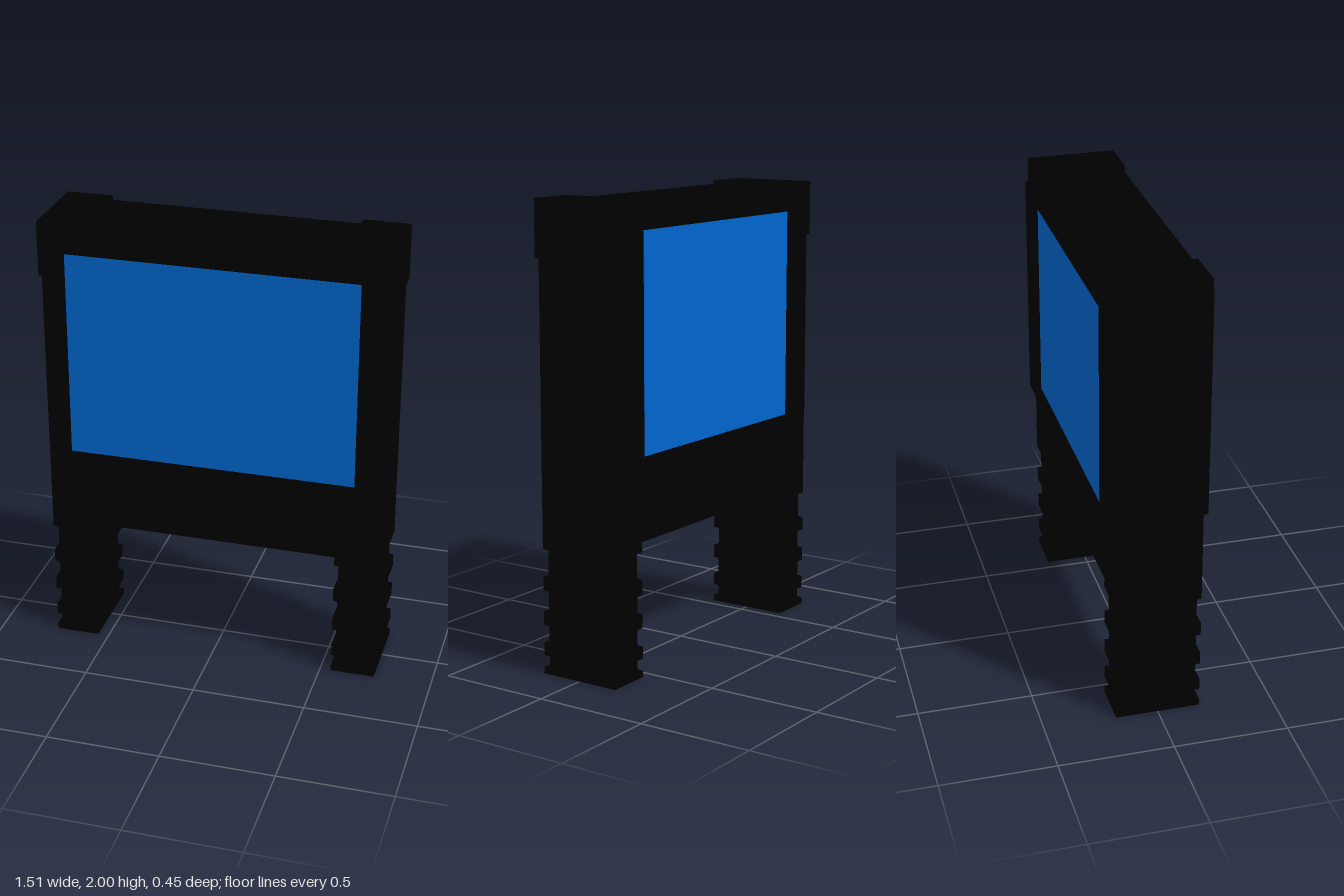
import * as THREE from 'three';

const black = new THREE.MeshStandardMaterial({ color: 0x000000 });
black.name = 'black casing';
const blue = new THREE.MeshStandardMaterial({ color: 0x0065cc });
blue.name = 'blue screen';

// Box given by its min and max corners
function block(name, x0, x1, y0, y1, z0, z1, material = black) {
  const mesh = new THREE.Mesh(new THREE.BoxGeometry(x1 - x0, y1 - y0, z1 - z0), material);
  mesh.position.set((x0 + x1) / 2, (y0 + y1) / 2, (z0 + z1) / 2);
  mesh.name = name;
  return mesh;
}

// Rectangular column through rings of [y, half width, half depth], capped at both ends
function column(rings) {
  const points = [];
  const index = [];
  for (const [y, w, d] of rings) points.push(-w, y, d, w, y, d, w, y, -d, -w, y, -d);
  for (let r = 0; r < rings.length - 1; r++) {
    for (let i = 0; i < 4; i++) {
      const a = r * 4 + i, b = r * 4 + (i + 1) % 4;
      index.push(a, b, b + 4, a, b + 4, a + 4);
    }
  }
  const t = (rings.length - 1) * 4;
  index.push(0, 2, 1, 0, 3, 2, t, t + 1, t + 2, t, t + 2, t + 3);
  const geometry = new THREE.BufferGeometry();
  geometry.setAttribute('position', new THREE.Float32BufferAttribute(points, 3));
  geometry.setIndex(index);
  const flat = geometry.toNonIndexed();
  flat.computeVertexNormals();
  return flat;
}

// Ribbed leg: narrow core with chamfered bands
function legGeometry() {
  const bands = [[0, 0.037], [0.073, 0.143], [0.207, 0.282], [0.355, 0.43]];
  const rings = [];
  const core = [0.081, 0.17], rib = [0.098, 0.185], c = 0.008;
  for (const [lo, hi] of bands) {
    if (lo > 0) rings.push([lo, ...core]);
    rings.push([lo + (lo > 0 ? c : 0), ...rib], [hi - c, ...rib], [hi, ...core]);
  }
  rings.push([0.535, ...core], [0.543, ...rib], [0.56, ...rib]);
  return column(rings);
}

// Rectangular frame with an open middle, running from z0 to z1
function frame(name, z0, z1) {
  const rect = (Type, x, y0, y1) => new Type([[-x, y0], [x, y0], [x, y1], [-x, y1]]
    .map(([px, py]) => new THREE.Vector2(px, py)));
  const shape = rect(THREE.Shape, 0.677, 0.91, 1.92);
  shape.holes.push(rect(THREE.Path, 0.635, 0.95, 1.88));
  const geometry = new THREE.ExtrudeGeometry(shape, { depth: z1 - z0, bevelEnabled: false });
  const mesh = new THREE.Mesh(geometry, black);
  mesh.position.z = z0;
  mesh.name = name;
  return mesh;
}

export function createModel() {
  const model = new THREE.Group();
  model.name = 'displayStand';

  // Main cabinet between the posts
  model.add(block('cabinet', -0.55, 0.55, 0.585, 1.985, -0.185, 0.185));

  // Posts, corner caps and legs on both sides
  const leg = legGeometry();
  for (const [side, s] of [['left', 1], ['right', -1]]) {
    const span = (a, b) => (s > 0 ? [a, b] : [-b, -a]);
    model.add(block(side + 'Post', ...span(0.55, 0.745), 0.55, 1.98, -0.185, 0.185));
    model.add(block(side + 'Cap', ...span(0.55, 0.755), 1.76, 2, -0.197, 0.197));
    const mesh = new THREE.Mesh(leg, black);
    mesh.name = side + 'Leg';
    mesh.position.x = s * 0.647;
    model.add(mesh);
  }

  // Raised bezels with a dark panel sunk inside, on both faces
  model.add(frame('frontBezel', 0.18, 0.227), frame('backBezel', -0.227, -0.18));
  model.add(block('screenPanel', -0.64, 0.64, 0.945, 1.885, -0.198, 0.198));

  // Sunken screens: wide on the front, narrower on the back
  model.add(block('frontScreen', -0.635, 0.635, 0.95, 1.88, 0.196, 0.203, blue));
  model.add(block('backScreen', -0.55, 0.55, 0.95, 1.88, -0.201, -0.196, blue));
  return model;
}
